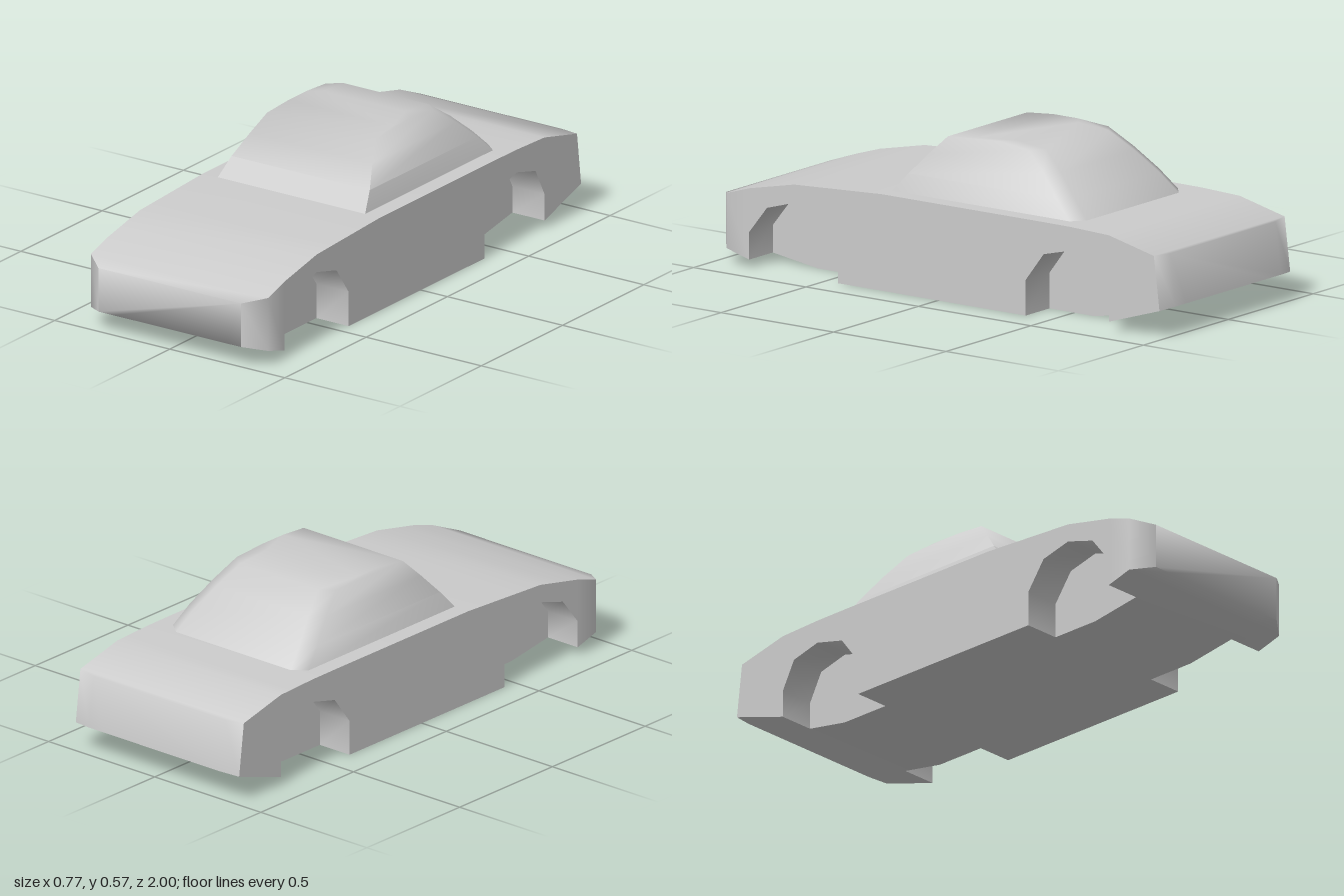
import * as THREE from 'three';
import { toCreasedNormals } from 'three/addons/utils/BufferGeometryUtils.js';

const material = new THREE.MeshStandardMaterial({ color: 0xcccccc });

// Piecewise-linear height along z, from points in ascending z
function heightAt(profile, z) {
  let i = 1;
  while (i < profile.length - 1 && profile[i][0] < z) i++;
  const [z0, y0] = profile[i - 1], [z1, y1] = profile[i];
  return THREE.MathUtils.mapLinear(z, z0, z1, y0, y1);
}

// Skin a row of equal-length rings, closing both ends
function loft(rings, crease) {
  const positions = [];
  const tri = (a, b, c) => {
    const [p, q, r] = [a, b, c].map((v) => new THREE.Vector3(...v));
    if (q.clone().sub(p).cross(r.clone().sub(p)).length() < 1e-7) return;
    positions.push(...a, ...b, ...c);
  };
  const n = rings[0].length;
  for (let k = 0; k < rings.length - 1; k++) {
    const a = rings[k], b = rings[k + 1];
    for (let i = 0; i < n; i++) {
      const j = (i + 1) % n;
      tri(a[i], a[j], b[j]);
      tri(a[i], b[j], b[i]);
    }
  }
  const first = rings[0], last = rings[rings.length - 1];
  for (let i = 1; i < n - 1; i++) {
    tri(first[0], first[i + 1], first[i]);
    tri(last[0], last[i], last[i + 1]);
  }
  const geometry = new THREE.BufferGeometry();
  geometry.setAttribute('position', new THREE.Float32BufferAttribute(positions, 3));
  return toCreasedNormals(geometry, crease);
}

function addPart(group, name, geometry) {
  const mesh = new THREE.Mesh(geometry, material);
  mesh.name = name;
  group.add(mesh);
}

export function createModel() {
  const group = new THREE.Group();
  group.name = 'car';

  // Lower body: cross-sections from tail to nose, notched by the wheel arches
  const top = [[-1, 0.295], [-0.96, 0.303], [-0.76, 0.345], [-0.57, 0.352], [0.25, 0.352],
    [0.64, 0.332], [0.84, 0.29], [1, 0.24]];
  const floor = [[-1, 0.105], [-0.76, 0.03], [-0.59, 0], [0.64, 0], [0.84, 0.03], [1, 0.075]];
  const halfWidth = 0.385, wellInner = 0.245;

  const section = (z, arch, width = halfWidth, topShift = 0) => {
    const t = heightAt(top, z), f = heightAt(floor, z), a = arch ?? f, s = wellInner;
    return [[width, t, z + topShift], [-width, t, z + topShift], [-width, a, z], [-s, a, z],
      [-s, f, z], [s, f, z], [s, a, z], [width, a, z]];
  };
  const archSections = (points) => [
    section(points[0][0]),
    ...points.map(([z, y]) => section(z, y)),
    section(points[points.length - 1][0]),
  ];

  const rearArch = [[-0.76, 0.13], [-0.705, 0.235], [-0.59, 0.265], [-0.47, 0.235], [-0.39, 0.13]];
  const frontArch = [[0.445, 0.13], [0.52, 0.235], [0.64, 0.265], [0.76, 0.23], [0.84, 0.13]];
  addPart(group, 'body', loft([
    section(-1, null, 0.31, 0.025),
    section(-0.985, null, halfWidth, 0.025),
    ...archSections(rearArch),
    section(0.25),
    ...archSections(frontArch),
    section(0.94),
    section(1, null, 0.31),
  ], 1.3));

  // Cabin: stacked outlines [height, front z, rear z, half width]
  const outlines = [
    [0.345, 0.257, -0.582, 0.322],
    [0.42, 0.195, -0.505, 0.3],
    [0.495, 0.13, -0.42, 0.266],
    [0.56, 0.07, -0.33, 0.234],
    [0.572, -0.05, -0.2, 0.227],
  ];
  addPart(group, 'cabin', loft(outlines.map(([y, front, rear, w]) => [
    [w, y, front], [w, y, rear + 0.04], [w - 0.05, y, rear],
    [-w + 0.05, y, rear], [-w, y, rear + 0.04], [-w, y, front],
  ]), 1.3));

  return group;
}
